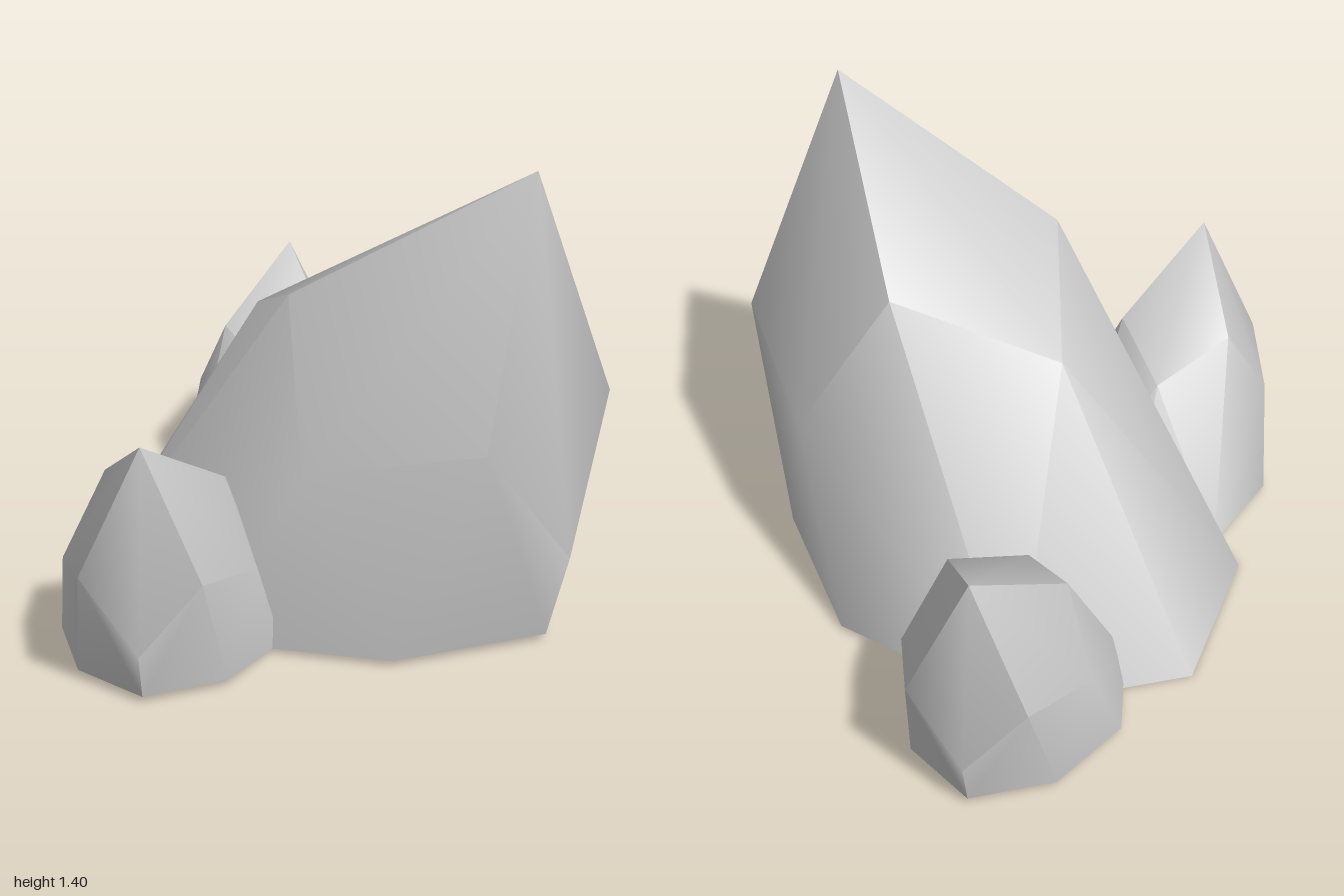
import * as THREE from 'three';
import { ConvexGeometry } from 'three/addons/geometries/ConvexGeometry.js';
import { toCreasedNormals } from 'three/addons/utils/BufferGeometryUtils.js';

// Half profiles as [x, y, z]; every point off the centre plane is mirrored
const BASE = [[0, 0.02, 0.82], [0.41, 0.018, 0.56], [0.62, 0.012, 0.06], [0.47, 0.004, -0.55], [0, 0, -0.8]];
const SHOULDER = [[0, 0.28, 0.89], [0.33, 0.68, 0.81], [0.53, 0.57, 0.33], [0.33, 1.01, 0.13], [0, 0.83, -0.24]];
const TIP = [[0, 1.4, 0.74]];

// Leaning, faceted crystal with a zigzag shoulder and one sharp tip
function crystalGeometry() {
  const points = [];
  for (const [x, y, z] of [...BASE, ...SHOULDER, ...TIP]) {
    points.push(new THREE.Vector3(x, y, z));
    if (x > 0) points.push(new THREE.Vector3(-x, y, z));
  }
  return toCreasedNormals(new ConvexGeometry(points), 0.9);
}

export function createModel() {
  const group = new THREE.Group();
  group.name = 'crystalCluster';
  const geometry = crystalGeometry();
  const material = new THREE.MeshStandardMaterial({ color: 0xcccccc });

  // One shared shape, turned and scaled for each crystal
  const addCrystal = (name, position, turn, scale) => {
    const mesh = new THREE.Mesh(geometry, material);
    mesh.name = name;
    mesh.position.set(...position);
    mesh.rotation.y = turn;
    mesh.scale.setScalar(scale);
    group.add(mesh);
  };

  addCrystal('mainCrystal', [0.09, 0, 0], 0, 1);
  addCrystal('rightSmallCrystal', [-0.538, 0.01, -0.07], -1.07, 0.525);
  addCrystal('leftSmallCrystal', [0.541, 0.01, -0.528], 2.086, 0.525);
  return group;
}
